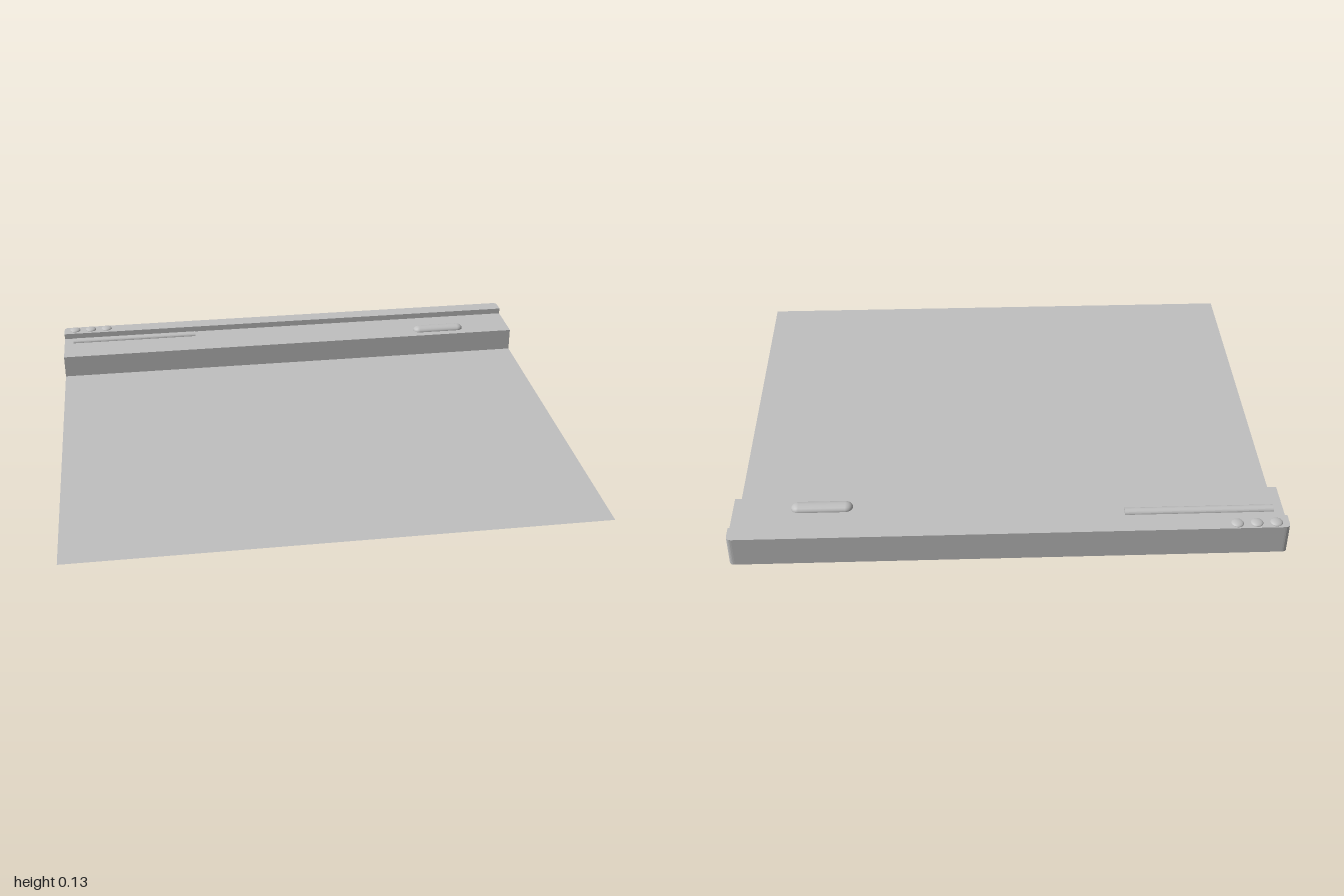
import * as THREE from 'three';

export function createModel() {
  const model = new THREE.Group();
  model.name = 'windowPanel';
  const grey = new THREE.MeshStandardMaterial({ color: 0xc0c0c0, side: THREE.DoubleSide });
  grey.name = 'lightGrey';

  const add = (name, geometry, x = 0, y = 0, z = 0) => {
    const mesh = new THREE.Mesh(geometry, grey);
    mesh.name = name;
    mesh.position.set(x, y, z);
    model.add(mesh);
    return mesh;
  };

  // Plan outline with rounded rear corners, from the back edge to frontZ
  const BACK = -0.84, R = 0.02;
  const plan = (frontZ) => {
    const s = new THREE.Shape();
    s.moveTo(-1, -frontZ);
    s.lineTo(1, -frontZ);
    s.lineTo(1, -BACK - R);
    s.quadraticCurveTo(1, -BACK, 1 - R, -BACK);
    s.lineTo(-1 + R, -BACK);
    s.quadraticCurveTo(-1, -BACK, -1, -BACK - R);
    s.closePath();
    return s;
  };
  const slab = (frontZ, height) => new THREE.ExtrudeGeometry(plan(frontZ), {
    depth: height, bevelEnabled: false, curveSegments: 6,
  }).rotateX(-Math.PI / 2);

  // Page sheet lying on the ground
  add('pageSheet', new THREE.ShapeGeometry(plan(0.84), 6).rotateX(-Math.PI / 2));

  // Stepped header: low toolbar and a taller strip at the rear
  add('toolbar', slab(-0.59, 0.093));
  add('titleStrip', slab(-0.775, 0.024), 0, 0.093);

  // Three domed buttons
  for (const x of [-0.953, -0.883, -0.813]) {
    const dome = new THREE.SphereGeometry(0.023, 20, 8, 0, Math.PI * 2, 0, Math.PI / 2);
    add('roundButton', dome.scale(1, 0.4, 1), x, 0.117, -0.812);
  }

  // Half-round bar held just above the toolbar
  const arc = new THREE.Shape();
  arc.absarc(0, 0, 0.017, 0, Math.PI, false);
  arc.closePath();
  const bar = new THREE.ExtrudeGeometry(arc, { depth: 0.54, bevelEnabled: false, curveSegments: 8 });
  add('addressBar', bar.scale(1, 0.82, 1).rotateY(Math.PI / 2), -0.96, 0.103, -0.722);

  // Flattened pill set into the toolbar
  const pill = new THREE.CapsuleGeometry(0.0275, 0.17, 6, 16).rotateZ(Math.PI / 2);
  add('pillButton', pill.scale(1, 0.68, 1), 0.677, 0.093, -0.649);

  return model;
}
